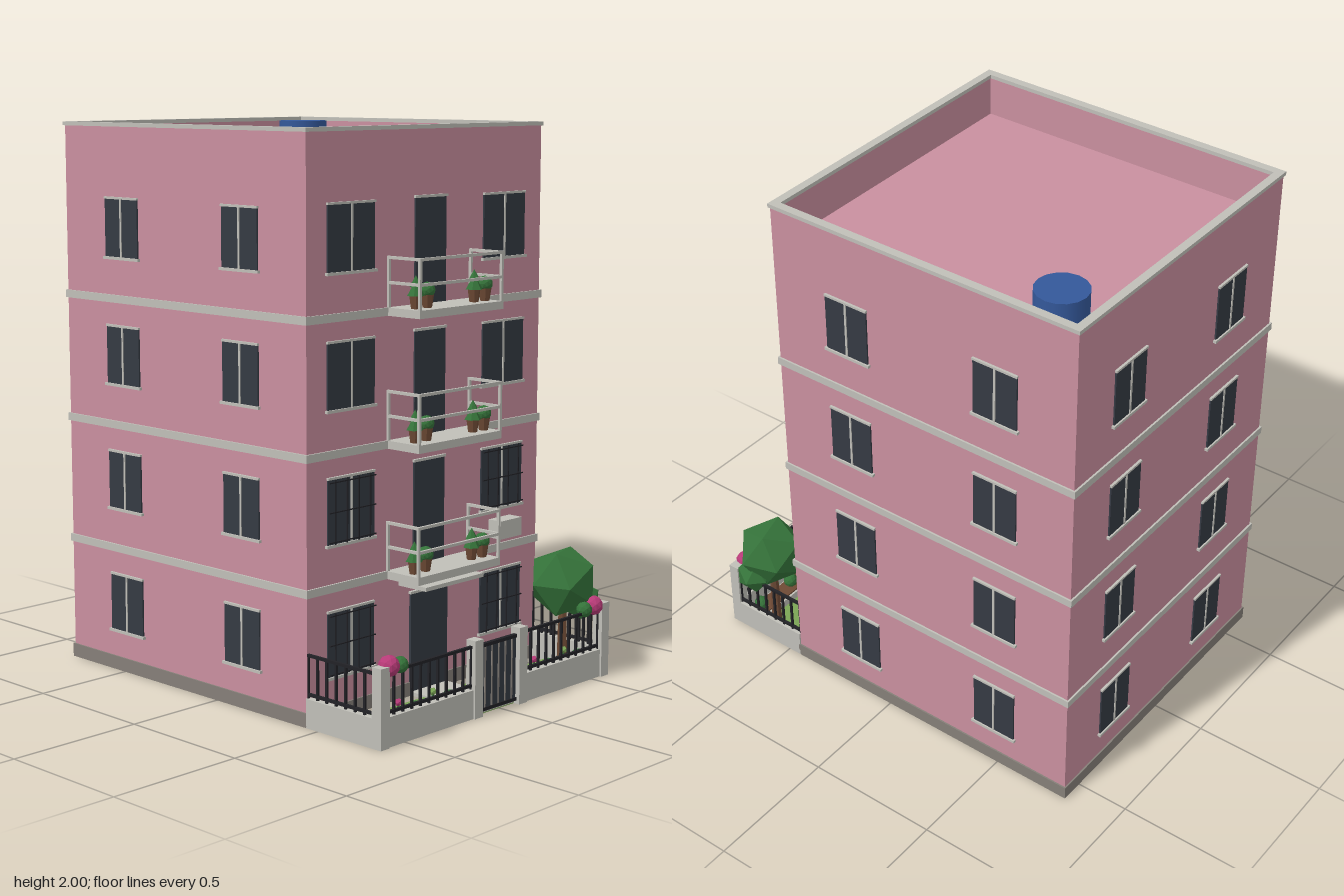
import * as THREE from 'three';

const mat = (name, color) => {
  const m = new THREE.MeshStandardMaterial({ color });
  m.name = name;
  return m;
};
const M = {
  pink: mat('pink wall', 0xc98f9f), trim: mat('pale concrete', 0xc0bfb8),
  plinth: mat('dark stone', 0x857f78), glass: mat('dark glass', 0x353a43),
  leaf: mat('leaf green', 0x35733a), lawn: mat('lawn green', 0x7ba555),
  flower: mat('flower pink', 0xb83b78), brown: mat('brown', 0x6e4a35),
  blue: mat('tank blue', 0x34589a), black: mat('black iron', 0x222226),
};
const CX = -0.018, CZ = -0.175, HW = 0.6, HD = 0.62; // wall centre and half sizes
const FRONT = CZ + HD, PITCH = 0.4575;

const add = (parent, name, geo, m, x, y, z) => {
  const mesh = new THREE.Mesh(geo, m);
  mesh.name = name;
  mesh.position.set(x, y, z);
  parent.add(mesh);
  return mesh;
};
const group = (parent, name, x = 0, y = 0, z = 0) => {
  const g = new THREE.Group();
  g.name = name;
  g.position.set(x, y, z);
  parent.add(g);
  return g;
};
// box given by its low and high corners
const span = (p, name, m, x0, x1, y0, y1, z0, z1) =>
  add(p, name, new THREE.BoxGeometry(x1 - x0, y1 - y0, z1 - z0), m, (x0 + x1) / 2, (y0 + y1) / 2, (z0 + z1) / 2);
const faceted = (geo) => {
  const g = geo.index ? geo.toNonIndexed() : geo;
  g.computeVertexNormals();
  return g;
};
const ball = (p, name, m, r, x, y, z, detail = 0) =>
  add(p, name, faceted(new THREE.IcosahedronGeometry(r, detail)), m, x, y, z);
const cone = (p, name, m, r0, r1, h, n, x, y, z) =>
  add(p, name, faceted(new THREE.CylinderGeometry(r1, r0, h, n)), m, x, y + h / 2, z);

// four boxes forming a rectangular ring
function ring(p, name, m, hw, hd, t, y0, y1) {
  const g = group(p, name, CX, 0, CZ);
  for (const s of [-1, 1]) {
    add(g, name + 'Side', new THREE.BoxGeometry(t, y1 - y0, hd * 2), m, s * (hw - t / 2), (y0 + y1) / 2, 0);
    add(g, name + 'End', new THREE.BoxGeometry(2 * (hw - t), y1 - y0, t), m, 0, (y0 + y1) / 2, s * (hd - t / 2));
  }
}

// window facing +z, bottom centre at its origin
function windowUnit(p, name, w, h, x, y, z, turn = 0, grille = false) {
  const g = group(p, name, x, y, z);
  g.rotation.y = turn;
  span(g, 'glass', M.glass, -w / 2, w / 2, 0, h, -0.01, 0.006);
  span(g, 'mullion', M.trim, -0.004, 0.004, 0, h, 0, 0.009);
  span(g, 'lintel', M.trim, -w / 2 - 0.002, w / 2 + 0.002, h, h + 0.008, -0.01, 0.009);
  span(g, 'sill', M.trim, -w / 2 - 0.008, w / 2 + 0.008, -0.01, 0, -0.01, 0.012);
  if (!grille) return;
  for (let i = 0; i < 4; i++) {
    const bx = -w / 2 + w * (i + 0.5) / 4;
    span(g, 'grilleBar', M.black, bx - 0.002, bx + 0.002, 0, h, 0.012, 0.016);
  }
  for (const f of [0.04, 0.5, 0.96])
    span(g, 'grilleRail', M.black, -w / 2, w / 2, h * f - 0.002, h * f + 0.002, 0.012, 0.016);
}

function balcony(p, y) {
  const g = group(p, 'balcony', CX, y, FRONT);
  const w = 0.216, d = 0.152, t = 0.005;
  span(g, 'balconySlab', M.trim, -w, w, -0.028, 0, 0, d);
  for (const ry of [0.085, 0.17]) {
    span(g, 'frontRail', M.trim, -w, w, ry - t, ry + t, d - 2 * t, d);
    for (const s of [-1, 1])
      add(g, 'sideRail', new THREE.BoxGeometry(2 * t, 2 * t, d), M.trim, s * (w - t), ry, d / 2);
  }
  for (const s of [-1, 1]) for (const z of [t, d - t])
    add(g, 'railPost', new THREE.BoxGeometry(2 * t, 0.17, 2 * t), M.trim, s * (w - t), 0.085, z);
  // potted plants: a pointed one and a round one on each side
  for (const x of [-0.178, 0.122]) {
    const z = 0.098;
    cone(g, 'pot', M.brown, 0.016, 0.023, 0.05, 8, x, 0, z);
    cone(g, 'lowerFoliage', M.leaf, 0.031, 0.008, 0.04, 6, x, 0.044, z);
    cone(g, 'upperFoliage', M.leaf, 0.023, 0, 0.04, 6, x, 0.074, z);
    cone(g, 'pot', M.brown, 0.016, 0.023, 0.045, 8, x + 0.058, 0, z);
    ball(g, 'roundFoliage', M.leaf, 0.028, x + 0.058, 0.06, z, 1);
  }
}

// iron railing from a to b (x, z pairs)
function railing(p, ax, az, bx, bz) {
  const len = Math.hypot(bx - ax, bz - az), n = Math.round(len / 0.042);
  const g = group(p, 'railing', ax, 0, az);
  g.rotation.y = Math.atan2(az - bz, bx - ax);
  for (const y of [0.115, 0.25]) span(g, 'fenceRail', M.black, 0, len, y - 0.005, y + 0.005, -0.005, 0.005);
  for (let i = 0; i <= n; i++) {
    const x = i * len / n;
    span(g, 'fenceBar', M.black, x - 0.004, x + 0.004, 0.1, 0.25, -0.004, 0.004);
  }
}

function building(root) {
  const b = group(root, 'building');
  span(b, 'plinth', M.plinth, CX - HW - 0.006, CX + HW + 0.006, 0, 0.05, CZ - HD - 0.006, FRONT + 0.006);
  span(b, 'walls', M.pink, CX - HW, CX + HW, 0.04, 1.84, CZ - HD, FRONT);
  ring(b, 'parapet', M.pink, HW, HD, 0.022, 1.84, 1.988);
  ring(b, 'parapetCap', M.trim, HW + 0.006, HD + 0.006, 0.031, 1.986, 2);
  for (let k = 0; k < 4; k++) {
    const y = 0.153 + k * PITCH;
    for (const s of [-1, 1]) {
      windowUnit(b, 'frontWindow', 0.225, 0.222, CX + s * 0.393, y, FRONT, 0, k < 2);
      windowUnit(b, 'backWindow', 0.175, 0.205, CX + s * 0.305, y, CZ - HD, Math.PI);
      for (const e of [-1, 1])
        windowUnit(b, 'sideWindow', 0.175, 0.205, CX + e * HW, y, CZ + s * 0.307, e * Math.PI / 2);
    }
    if (!k) continue;
    const fy = 0.016 + k * PITCH;
    ring(b, 'floorBand', M.trim, HW + 0.007, HD + 0.007, 0.02, fy - 0.028, fy);
    span(b, 'balconyDoor', M.glass, CX - 0.079, CX + 0.079, fy, fy + 0.364, FRONT - 0.01, FRONT + 0.006);
    span(b, 'doorLintel', M.trim, CX - 0.083, CX + 0.083, fy + 0.364, fy + 0.373, FRONT - 0.01, FRONT + 0.01);
    balcony(b, fy);
  }
  // entrance
  span(b, 'entranceDoor', M.glass, -0.113, 0.079, 0.012, 0.37, FRONT - 0.01, FRONT + 0.009);
  span(b, 'entranceLintel', M.trim, -0.117, 0.083, 0.37, 0.379, FRONT - 0.01, FRONT + 0.012);
  span(b, 'entranceCanopy', M.trim, -0.17, 0.135, 0.41, 0.424, FRONT, 0.575);
  span(b, 'airConditioner', M.trim, 0.312, 0.43, 0.503, 0.57, FRONT, 0.503);
  // roof tank
  span(b, 'tankBase', M.trim, 0.31, 0.51, 1.84, 1.865, -0.71, -0.51);
  add(b, 'waterTank', new THREE.CylinderGeometry(0.092, 0.092, 0.125, 16), M.blue, 0.411, 1.9275, -0.61);
}

function yard(root) {
  const g = group(root, 'frontYard');
  const x0 = -0.624, x1 = 0.588;
  span(g, 'lawn', M.lawn, -0.6, 0.566, 0, 0.01, 0.515, 0.765);
  span(g, 'path', M.trim, -0.113, 0.077, 0.003, 0.016, FRONT, 0.765);
  // low walls and posts
  span(g, 'frontWall', M.trim, x0, -0.155, 0, 0.102, 0.757, 0.783);
  span(g, 'frontWall', M.trim, 0.12, x1, 0, 0.102, 0.757, 0.783);
  span(g, 'sideWall', M.trim, x0, x0 + 0.024, 0, 0.102, FRONT, 0.77);
  span(g, 'sideWall', M.trim, x1 - 0.024, x1, 0, 0.102, FRONT, 0.77);
  for (const x of [x0, -0.157, 0.079, x1 - 0.042])
    span(g, 'fencePost', M.trim, x, x + 0.042, 0, 0.274, 0.749, 0.79);
  railing(g, x0 + 0.04, 0.77, -0.155, 0.77);
  railing(g, 0.12, 0.77, x1 - 0.04, 0.77);
  railing(g, x0 + 0.012, FRONT, x0 + 0.012, 0.75);
  railing(g, x1 - 0.012, FRONT, x1 - 0.012, 0.75);
  // gate
  span(g, 'gatePanel', M.glass, -0.113, 0.079, 0.012, 0.25, 0.766, 0.772);
  for (const y of [0.018, 0.245]) span(g, 'gateRail', M.black, -0.115, 0.079, y - 0.006, y + 0.006, 0.762, 0.777);
  for (let i = 0; i < 5; i++) {
    const x = -0.086 + i * 0.0355;
    span(g, 'gateBar', M.plinth, x - 0.003, x + 0.003, 0.024, 0.239, 0.763, 0.775);
  }
  // planted beds
  for (const [a, b, first] of [[-0.583, -0.16, -0.54], [0.127, 0.55, 0.17]]) {
    span(g, 'bedEdge', M.trim, a, b, 0.005, 0.04, 0.668, 0.75);
    span(g, 'bedSoil', M.brown, a + 0.008, b - 0.008, 0.01, 0.046, 0.676, 0.742);
    for (let i = 0; i < 5; i++) {
      const x = first + i * 0.0855;
      if (i % 2 === 0) ball(g, 'bedBush', M.leaf, 0.028, x, 0.07, 0.71, 1);
      else {
        span(g, 'flowerStem', M.leaf, x - 0.003, x + 0.003, 0.04, 0.105, 0.707, 0.713);
        ball(g, i === 1 ? 'bedFlower' : 'bedSprout', i === 1 ? M.flower : M.lawn, 0.014, x, 0.11, 0.71);
      }
    }
  }
  // flowering clumps on the corners
  for (const [x, s] of [[-0.56, 1], [0.523, -1]]) {
    ball(g, 'flowerClump', M.flower, 0.037, x, 0.268, 0.765, 1);
    ball(g, 'leafClump', M.leaf, 0.029, x + s * 0.052, 0.262, 0.766, 1);
  }
  // tree
  const t = group(g, 'tree', 0.487, 0, 0.655);
  cone(t, 'treeTrunk', M.brown, 0.02, 0.014, 0.28, 7, 0, 0.008, 0);
  ball(t, 'treeCrown', M.leaf, 0.135, 0, 0.345, 0).rotation.y = 0.3;
  ball(t, 'smallCrown', M.leaf, 0.072, 0.072, 0.265, 0.03).rotation.y = 0.8;
}

export function createModel() {
  const root = new THREE.Group();
  root.name = 'apartmentBuilding';
  building(root);
  yard(root);
  return root;
}
